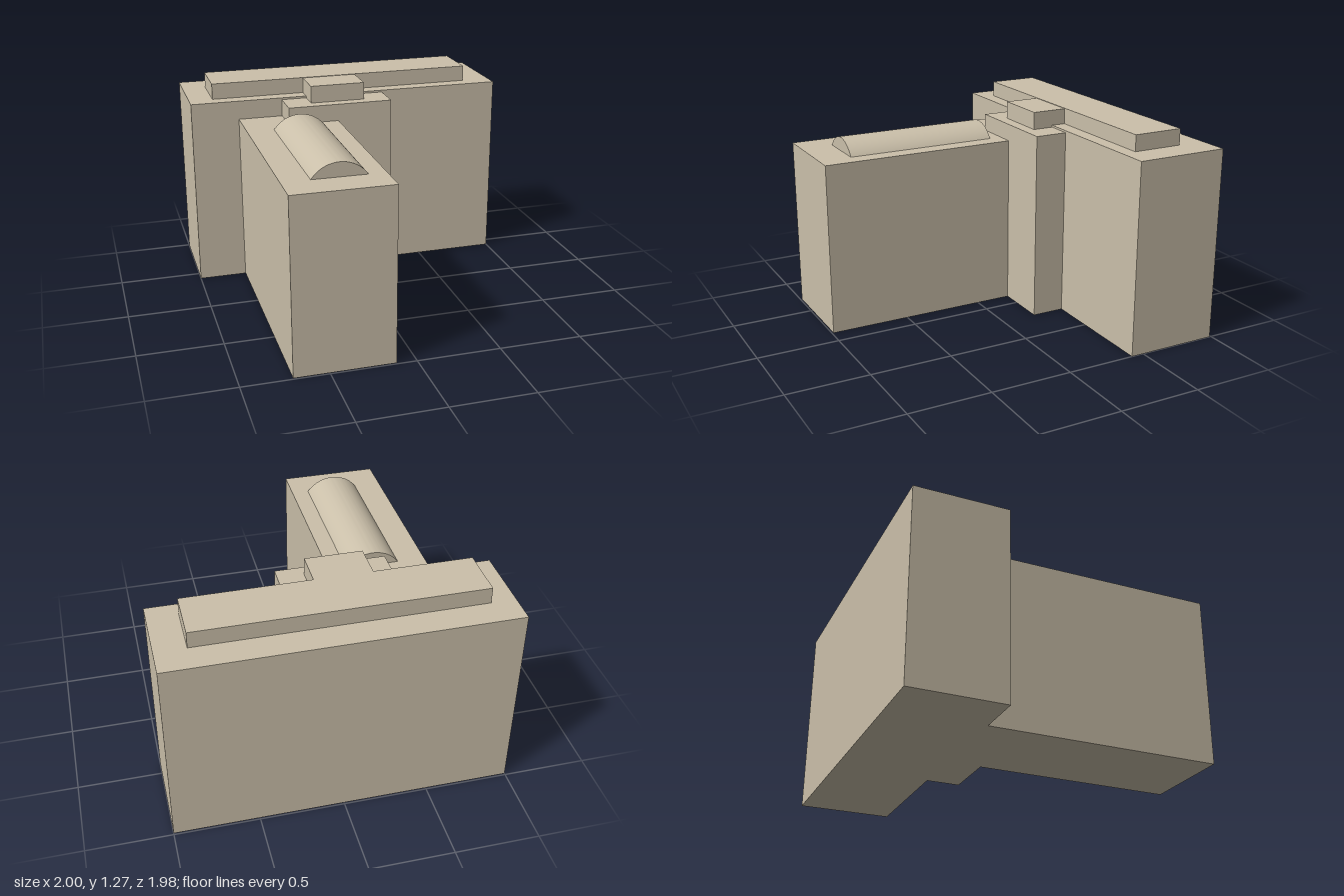
import * as THREE from 'three';
import { toCreasedNormals } from 'three/addons/utils/BufferGeometryUtils.js';

export function createModel() {
  const model = new THREE.Group();
  model.name = 'building';
  const stone = new THREE.MeshStandardMaterial({ color: 0xcbc0aa });

  // Box given by its extents along each axis
  function block(name, [x0, x1], [y0, y1], [z0, z1]) {
    const geometry = new THREE.BoxGeometry(x1 - x0, y1 - y0, z1 - z0);
    geometry.translate((x0 + x1) / 2, (y0 + y1) / 2, (z0 + z1) / 2);
    const mesh = new THREE.Mesh(geometry, stone);
    mesh.name = name;
    model.add(mesh);
  }

  // Main volumes
  block('mainBlock', [-1, 1], [0, 1.172], [-0.99, -0.422]);
  block('connectorBlock', [-0.43, 0.227], [0, 1.16], [-0.422, -0.22]);
  block('frontWing', [-0.706, -0.117], [0, 1.055], [-0.422, 0.99]);

  // Raised roof storeys
  block('roofStorey', [-0.853, 0.82], [1.172, 1.27], [-0.82, -0.51]);
  block('roofProjection', [-0.272, 0.07], [1.16, 1.267], [-0.51, -0.292]);

  // Barrel vault skylight: a shallow circular segment run along the wing
  const half = 0.16, rise = 0.085;
  const radius = (half * half + rise * rise) / (2 * rise);
  const angle = Math.asin(half / radius);
  const section = new THREE.Shape();
  section.absarc(0, rise - radius, radius, Math.PI / 2 - angle, Math.PI / 2 + angle, false);
  section.closePath();
  const vault = new THREE.Mesh(
    toCreasedNormals(
      new THREE.ExtrudeGeometry(section, { depth: 0.935, bevelEnabled: false, curveSegments: 24 }),
      0.5
    ),
    stone
  );
  vault.name = 'vaultedSkylight';
  vault.position.set(-0.381, 1.055, -0.143);
  model.add(vault);

  return model;
}
